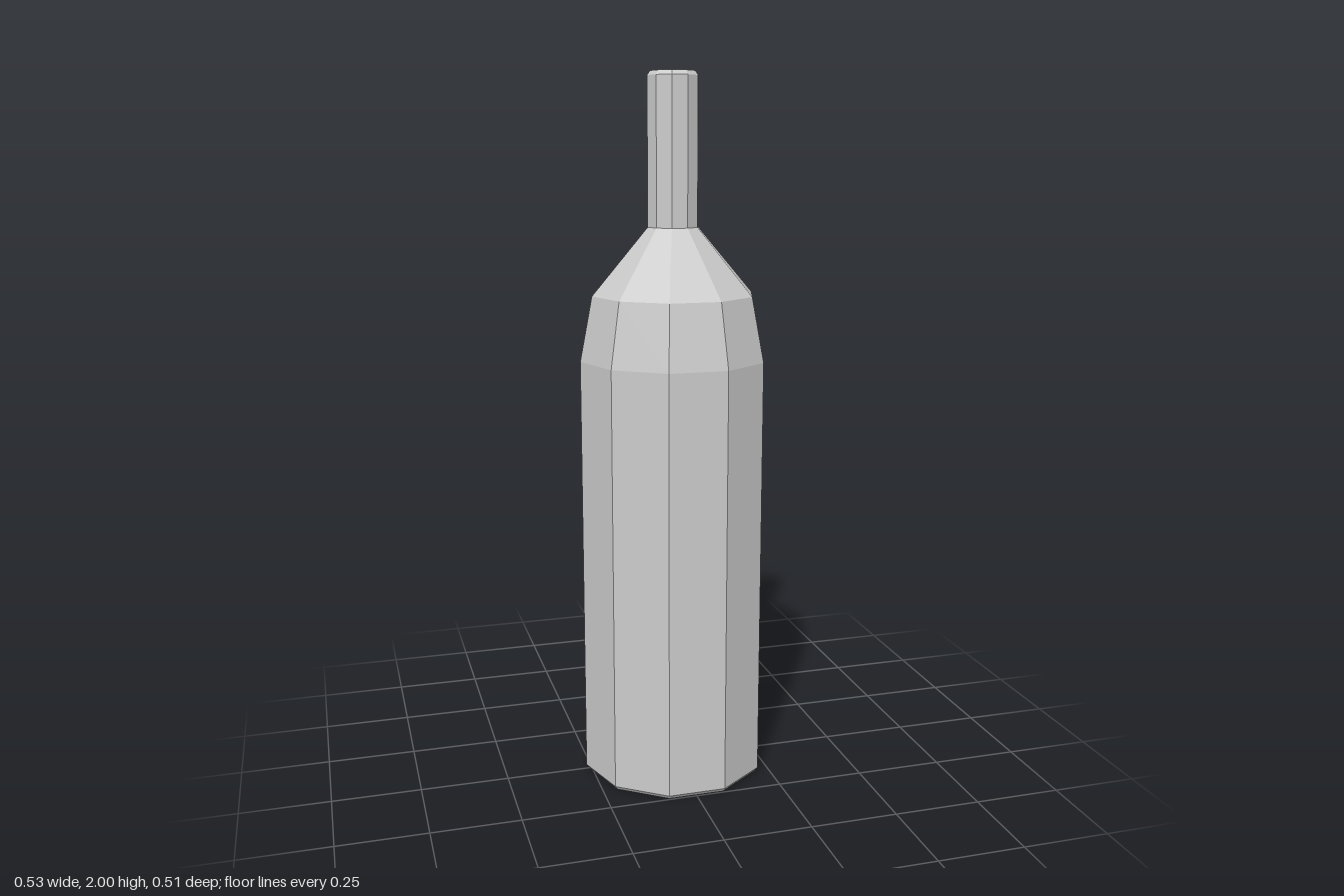
import * as THREE from 'three';

const SIDES = 10;

export function createModel() {
  const group = new THREE.Group();
  group.name = 'bottle';
  const material = new THREE.MeshStandardMaterial({ color: 0xcccccc, flatShading: true });

  // Ten-sided ring of faces from a [radius, height] profile, with a corner on the x axis
  const addPart = (name, profile) => {
    const points = profile.map(([r, y]) => new THREE.Vector2(r, y));
    const geometry = new THREE.LatheGeometry(points, SIDES, Math.PI / 2);
    const mesh = new THREE.Mesh(geometry, material);
    mesh.name = name;
    group.add(mesh);
  };

  // Closed base with a small worn edge, straight walls
  addPart('body', [[0, 0], [0.257, 0], [0.266, 0.012], [0.266, 1.22]]);
  // Slight taper, then the steep slope into the neck
  addPart('shoulder', [[0.266, 1.22], [0.231, 1.4], [0.072, 1.585]]);
  // Slim neck with a closed, slightly bevelled top
  addPart('neck', [[0.072, 1.585], [0.072, 1.988], [0.064, 2], [0, 2]]);

  return group;
}
